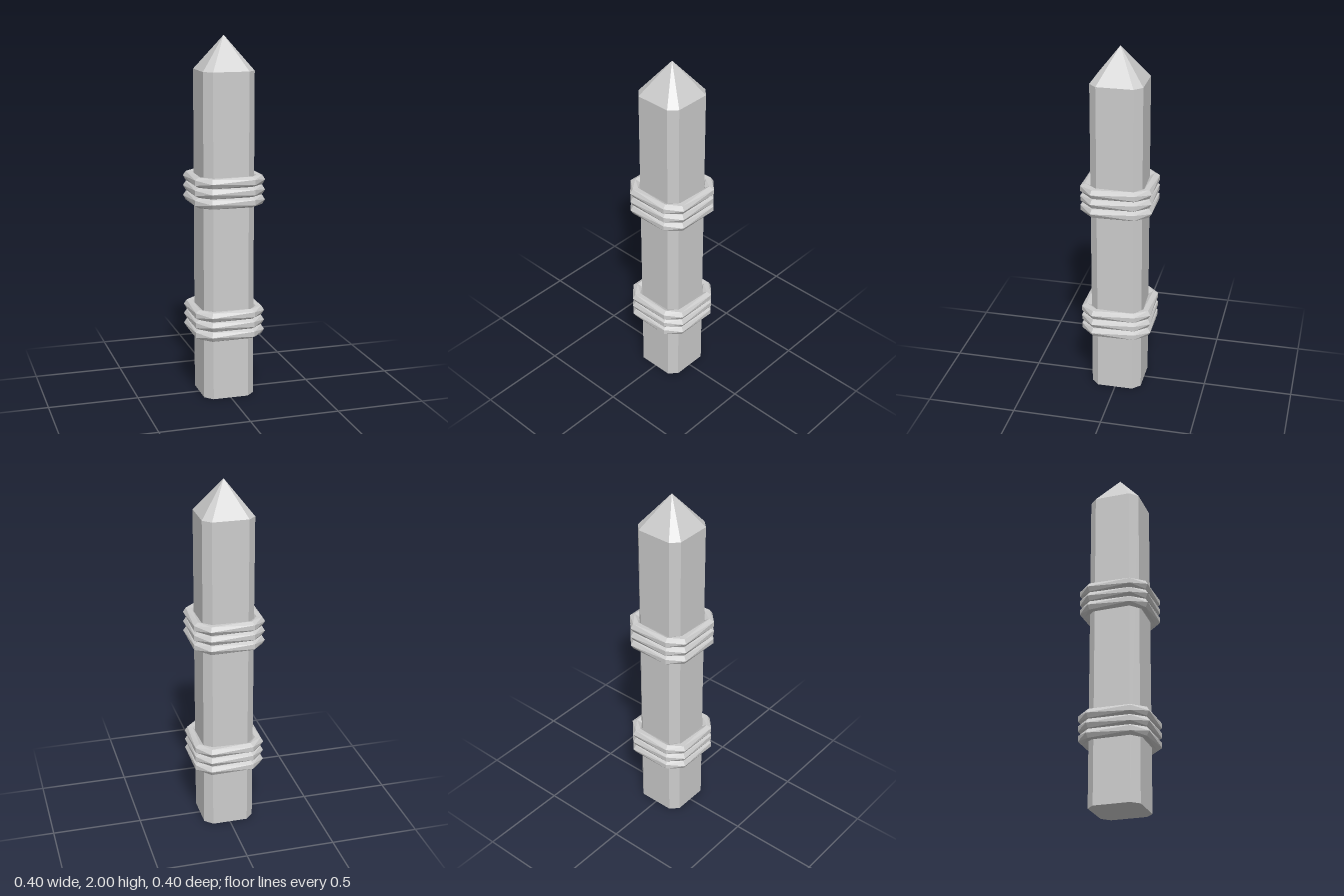
import * as THREE from 'three';

const stone = new THREE.MeshStandardMaterial({ color: 0xcccccc, flatShading: true });
stone.name = 'paleStone';

const SIDES = 6;

// Turn a regular eight-sided solid into a square one with chamfered corners
function squareOff(geometry) {
  const p = geometry.attributes.position;
  const snap = v => Math.sign(v) * (Math.abs(v) > 0.6 ? 0.143 : Math.abs(v) > 0.1 ? 0.1 : 0);
  for (let i = 0; i < p.count; i++) p.setXYZ(i, snap(p.getX(i)), p.getY(i), snap(p.getZ(i)));
  const flat = geometry.toNonIndexed();
  flat.computeVertexNormals();
  return flat;
}

// Chamfered square ring whose hexagonal section turns half a step at every other corner
function bandGeometry() {
  const r = 0.029;
  const point = (i, j) => {
    const a = (((i % 8) + 0.5) * Math.PI) / 4;
    const t = ((j + (i % 2) * 0.5) * Math.PI * 2) / SIDES;
    const far = 0.17 + r * Math.cos(t);
    const near = 0.11 + r * 0.41 * Math.cos(t);
    const c = Math.cos(a), s = Math.sin(a);
    const alongX = Math.abs(c) > Math.abs(s);
    return [Math.sign(c) * (alongX ? far : near), r * Math.sin(t), Math.sign(s) * (alongX ? near : far)];
  };
  const verts = [];
  for (let i = 0; i < 8; i++) {
    for (let j = 0; j < SIDES; j++) {
      const A = point(i, j), B = point(i, j + 1), C = point(i + 1, j + 1), D = point(i + 1, j);
      const tris = i % 2 ? [A, B, C, A, C, D] : [A, B, D, B, C, D];
      verts.push(...tris.flat());
    }
  }
  const g = new THREE.BufferGeometry();
  g.setAttribute('position', new THREE.Float32BufferAttribute(verts, 3));
  g.computeVertexNormals();
  return g;
}

export function createModel() {
  const model = new THREE.Group();
  model.name = 'bandedPost';
  const add = (name, geometry, y, parent = model) => {
    const mesh = new THREE.Mesh(geometry, stone);
    mesh.name = name;
    mesh.position.y = y;
    parent.add(mesh);
  };

  // Shaft and pointed tip
  const shaftHeight = 1.815, tipHeight = 2 - shaftHeight;
  add('shaft', squareOff(new THREE.CylinderGeometry(1, 1, shaftHeight, 8, 1, false, Math.PI / 8)), shaftHeight / 2);
  add('tip', squareOff(new THREE.ConeGeometry(1, tipHeight, 8, 1, true, Math.PI / 8)), shaftHeight + tipHeight / 2);

  // Two bindings of three stacked bands
  const band = bandGeometry();
  for (const [name, y] of [['lowerBinding', 0.432], ['upperBinding', 1.172]]) {
    const binding = new THREE.Group();
    binding.name = name;
    binding.position.y = y;
    for (const k of [-1, 0, 1]) add('band', band, k * 0.0555, binding);
    model.add(binding);
  }
  return model;
}
